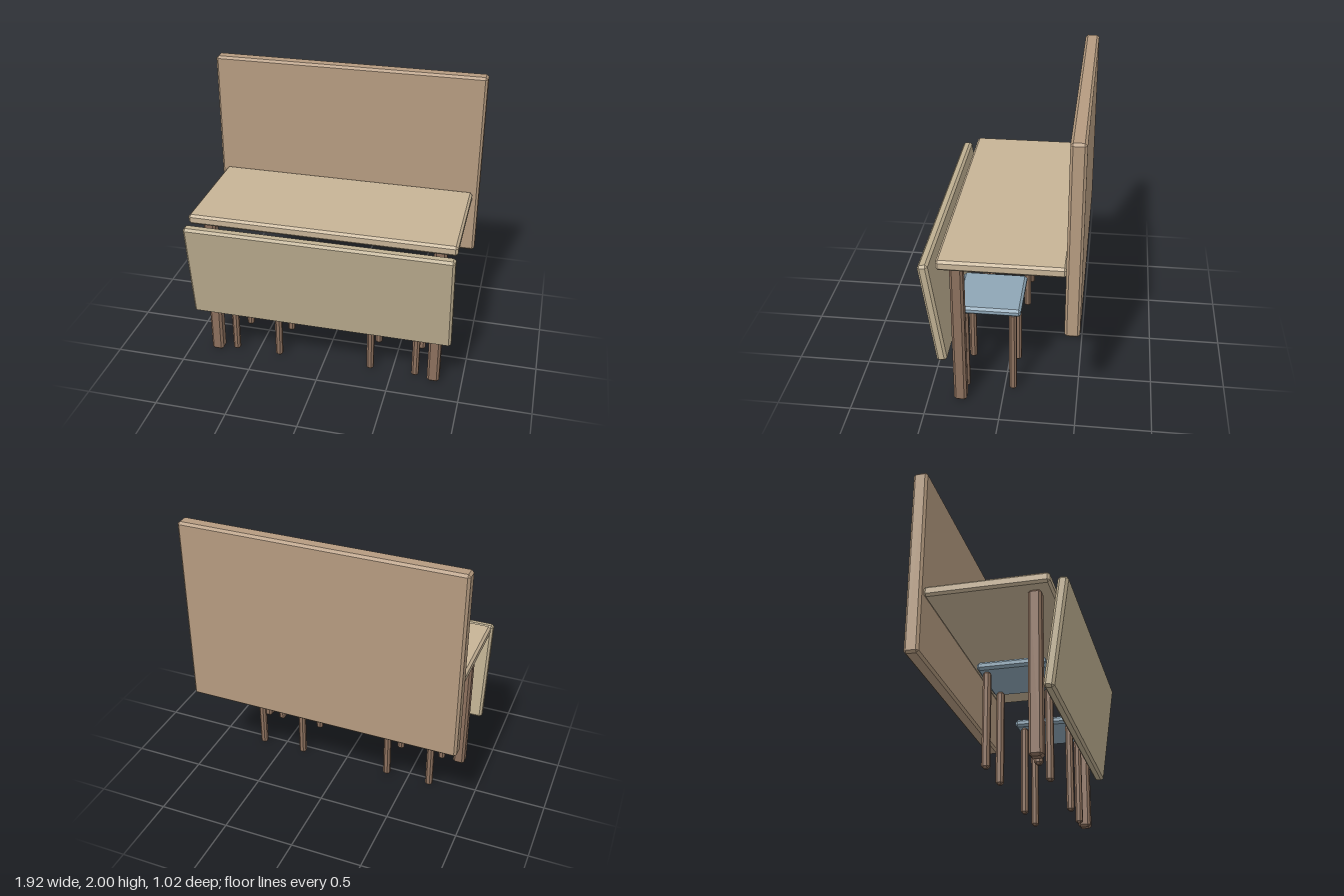
import * as THREE from 'three';
import { ConvexGeometry } from 'three/addons/geometries/ConvexGeometry.js';

const paint = (color) => new THREE.MeshStandardMaterial({ color });
const panelWood = paint(0xb59b80);
const topWood = paint(0xc6b396);
const boardWood = paint(0xbdae90);
const legWood = paint(0x8c705d);
const seatBlue = paint(0x8ea6b6);

// Box with flat chamfers on every edge: three points at each corner
function chamferBox(w, h, d, c) {
  const half = [w / 2, h / 2, d / 2];
  const points = [];
  for (const sx of [-1, 1]) for (const sy of [-1, 1]) for (const sz of [-1, 1]) {
    for (let full = 0; full < 3; full++) {
      const [x, y, z] = half.map((v, axis) => (axis === full ? v : v - c));
      points.push(new THREE.Vector3(sx * x, sy * y, sz * z));
    }
  }
  return new ConvexGeometry(points);
}

function addBlock(parent, name, material, size, position, chamfer = 0.016) {
  const mesh = new THREE.Mesh(chamferBox(...size, chamfer), material);
  mesh.name = name;
  mesh.position.set(...position);
  parent.add(mesh);
  return mesh;
}

// Stool with a square seat and four legs
function createStool(name) {
  const stool = new THREE.Group();
  stool.name = name;
  addBlock(stool, 'seat', seatBlue, [0.436, 0.054, 0.436], [0, 0.653, 0]);
  for (const sx of [-1, 1]) for (const sz of [-1, 1]) {
    addBlock(stool, 'stoolLeg', legWood, [0.05, 0.626, 0.05], [sx * 0.163, 0.313, sz * 0.161], 0.014);
  }
  return stool;
}

export function createModel() {
  const model = new THREE.Group();
  model.name = 'deskWithStools';

  // Upright back panel and the worktop that butts against it
  addBlock(model, 'backPanel', panelWood, [1.918, 1.325, 0.098], [0, 1.3375, -0.461]);
  addBlock(model, 'worktop', topWood, [1.834, 0.07, 0.812], [0, 1.115, -0.01]);

  // Leaning front board
  const board = addBlock(model, 'frontBoard', boardWood, [1.834, 0.73, 0.068], [0, 0.745, 0.429]);
  board.rotation.x = 0.14;

  // Desk legs and stools, mirrored left and right
  for (const [side, s] of [['left', 1], ['right', -1]]) {
    addBlock(model, side + 'DeskLeg', legWood, [0.086, 1.08, 0.086], [s * 0.799, 0.54, 0.282]);
    const stool = createStool(side + 'Stool');
    stool.position.set(s * 0.502, 0, 0.103);
    model.add(stool);
  }
  return model;
}
